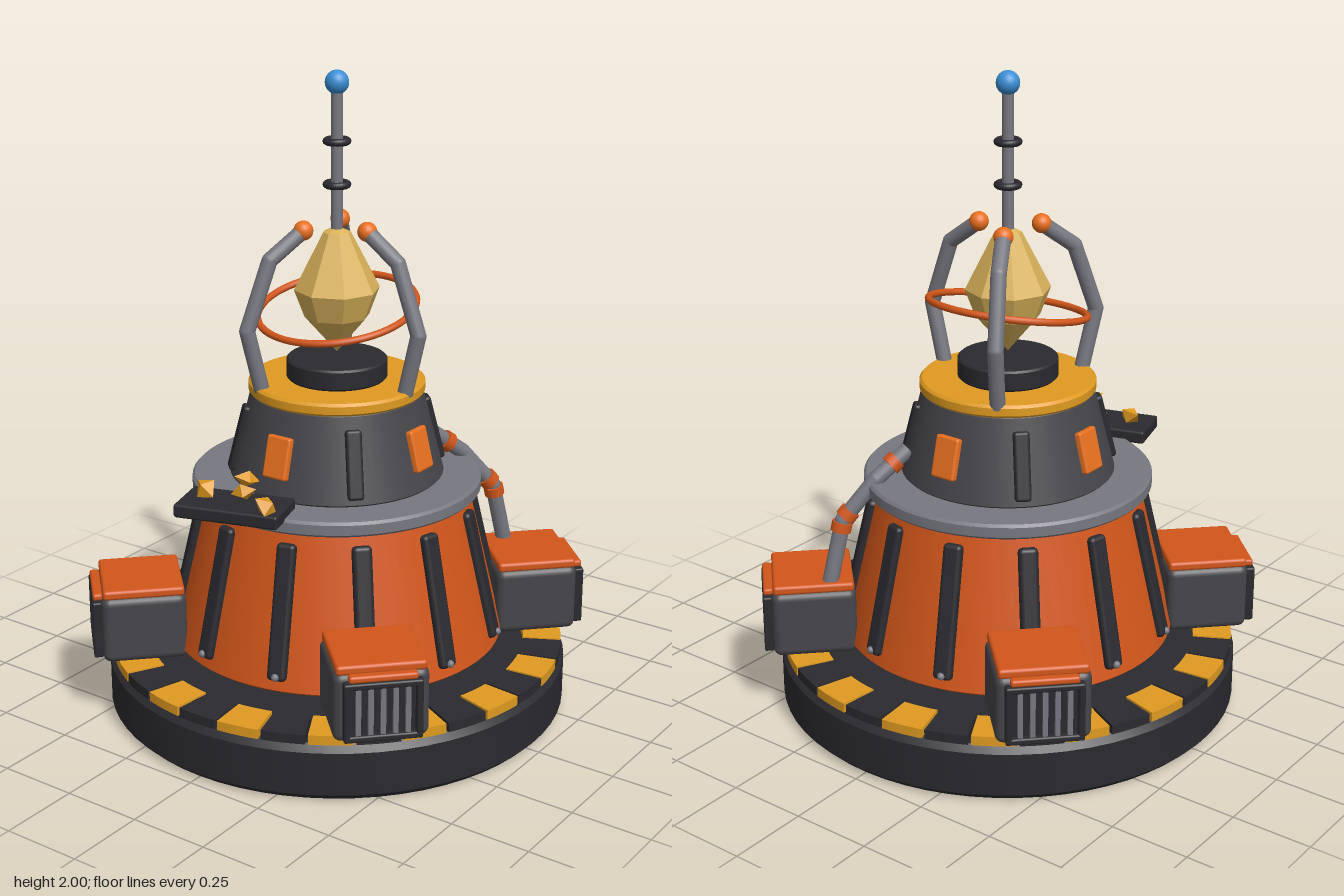
import * as THREE from 'three';
import { RoundedBoxGeometry } from 'three/addons/geometries/RoundedBoxGeometry.js';
import { toCreasedNormals } from 'three/addons/utils/BufferGeometryUtils.js';

const mat = (color, flatShading = false) => new THREE.MeshStandardMaterial({ color, flatShading });
const dark = mat(0x2a2a2f), slate = mat(0x46464b), steel = mat(0x777780);
const orange = mat(0xd2561a), bright = mat(0xe8701f), yellow = mat(0xdf9a20);
const crystalMat = mat(0xd9b25a, true), shardMat = mat(0xe09a20, true), blue = mat(0x3a8fd6);
const V = (x, y, z) => new THREE.Vector3(x, y, z);

function add(parent, name, geometry, material, x = 0, y = 0, z = 0) {
  const mesh = new THREE.Mesh(geometry, material);
  mesh.name = name;
  mesh.position.set(x, y, z);
  parent.add(mesh);
  return mesh;
}

function spoke(parent, name, angle) {
  const g = new THREE.Group();
  g.name = name;
  g.rotation.y = angle;
  parent.add(g);
  return g;
}

// Closed disc or cone with small bevels on both rims
function turned(rBottom, rTop, y0, y1, bevel = 0.01) {
  const pts = [[0, y0], [rBottom - bevel, y0], [rBottom, y0 + bevel],
    [rTop, y1 - bevel], [rTop - bevel, y1], [0, y1]];
  return toCreasedNormals(new THREE.LatheGeometry(pts.map(p => new THREE.Vector2(...p)), 64), 0.5);
}

// Cylinder between two points
function rod(parent, name, a, b, r, material) {
  const d = b.clone().sub(a);
  const m = add(parent, name, new THREE.CylinderGeometry(r, r, d.length(), 16), material);
  m.position.copy(a).add(b).multiplyScalar(0.5);
  m.quaternion.setFromUnitVectors(V(0, 1, 0), d.normalize());
  return m;
}

// Jointed pipe through a list of points
function pipe(parent, name, points, r, material) {
  points.slice(1).forEach((p, i) => rod(parent, name, points[i], p, r, material));
  points.slice(1, -1).forEach(p =>
    add(parent, name + 'Joint', new THREE.SphereGeometry(r, 16, 10), material, p.x, p.y, p.z));
}

function buildBase(root) {
  add(root, 'base', turned(0.725, 0.725, 0, 0.18, 0.022), dark);
  // Hazard ring of alternating blocks
  const step = Math.PI / 16, half = step / 2 - 0.006;
  const shape = new THREE.Shape();
  shape.absarc(0, 0, 0.715, -half, half, false);
  shape.absarc(0, 0, 0.595, half, -half, true);
  const block = new THREE.ExtrudeGeometry(shape, { depth: 0.03, bevelEnabled: false, curveSegments: 4 });
  block.rotateX(-Math.PI / 2);
  for (let i = 0; i < 32; i++) {
    add(root, 'hazardBlock', block, i % 2 ? yellow : dark, 0, 0.18, 0).rotation.y = i * step;
  }
}

function buildBody(root) {
  add(root, 'lowerBody', turned(0.522, 0.41, 0.232, 0.72, 0.006), orange);
  add(root, 'collar', turned(0.45, 0.45, 0.71, 0.757, 0.008), steel);
  add(root, 'upperBody', turned(0.332, 0.266, 0.757, 1.025, 0.006), slate);
  add(root, 'topPlate', turned(0.272, 0.272, 1.02, 1.06, 0.008), yellow);
  add(root, 'crystalSocket', turned(0.155, 0.155, 1.06, 1.125, 0.006), dark);

  // Ribs with a rivet at the foot
  const rib = new RoundedBoxGeometry(0.06, 0.415, 0.04, 2, 0.014);
  for (let i = 0; i < 12; i++) {
    const g = spoke(root, 'lowerRib', (i + 0.5) * Math.PI / 6);
    add(g, 'rib', rib, dark, 0, 0.47, 0.468).rotation.x = -0.23;
    add(g, 'rivet', new THREE.SphereGeometry(0.012, 10, 8), steel, 0, 0.285, 0.531);
  }
  for (let i = 0; i < 4; i++) {
    const p = spoke(root, 'accentPanel', i * Math.PI / 2);
    add(p, 'panel', new RoundedBoxGeometry(0.085, 0.13, 0.03, 2, 0.008), bright, 0, 0.885, 0.302).rotation.x = -0.25;
    const r = spoke(root, 'upperRib', (i + 0.5) * Math.PI / 2);
    add(r, 'rib', new RoundedBoxGeometry(0.05, 0.21, 0.03, 2, 0.01), dark, 0, 0.88, 0.302).rotation.x = -0.25;
  }
}

function buildPod(root, angle) {
  const g = spoke(root, 'pod', angle);
  add(g, 'podBody', new RoundedBoxGeometry(0.28, 0.215, 0.26, 3, 0.025), slate, 0, 0.318, 0.622);
  add(g, 'podLid', new RoundedBoxGeometry(0.265, 0.03, 0.25, 2, 0.01), orange, 0, 0.434, 0.622);
  add(g, 'lidLip', new RoundedBoxGeometry(0.2, 0.022, 0.03, 2, 0.008), orange, 0, 0.418, 0.762);
  // Vent with frame and slats
  add(g, 'ventBack', new THREE.BoxGeometry(0.2, 0.16, 0.012), dark, 0, 0.315, 0.755);
  for (const s of [-1, 1]) {
    add(g, 'ventFrameSide', new RoundedBoxGeometry(0.02, 0.18, 0.03, 2, 0.006), dark, s * 0.105, 0.315, 0.765);
    add(g, 'ventFrameRail', new RoundedBoxGeometry(0.23, 0.02, 0.03, 2, 0.006), dark, 0, 0.315 + s * 0.082, 0.765);
  }
  for (let i = -2; i <= 2; i++) {
    add(g, 'ventSlat', new THREE.BoxGeometry(0.015, 0.145, 0.016), steel, i * 0.036, 0.315, 0.766);
  }
}

function buildCrown(root) {
  // Faceted crystal
  const profile = [[0, 1.14], [0.1, 1.255], [0.132, 1.34], [0.042, 1.515], [0, 1.535]];
  add(root, 'crystal', new THREE.LatheGeometry(profile.map(p => new THREE.Vector2(...p)), 8), crystalMat);
  add(root, 'orbitRing', new THREE.TorusGeometry(0.243, 0.011, 10, 64), orange, 0, 1.28, 0)
    .rotation.x = Math.PI / 2 + 0.2;

  // Three bent claws with ball tips
  for (let i = 0; i < 3; i++) {
    const g = spoke(root, 'claw', i * Math.PI * 2 / 3);
    pipe(g, 'clawArm', [V(0.25, 1.05, 0), V(0.295, 1.24, 0), V(0.22, 1.45, 0), V(0.11, 1.53, 0)], 0.024, steel);
    add(g, 'clawTip', new THREE.SphereGeometry(0.03, 20, 14), bright, 0.11, 1.53, 0);
  }

  // Antenna
  rod(root, 'antennaMast', V(0, 1.5, 0), V(0, 1.95, 0), 0.018, steel);
  for (const y of [1.66, 1.79]) {
    add(root, 'antennaCollar', new THREE.TorusGeometry(0.032, 0.011, 10, 28), dark, 0, y, 0).rotation.x = Math.PI / 2;
  }
  add(root, 'beacon', new THREE.SphereGeometry(0.036, 24, 16), blue, 0, 1.964, 0);
}

function buildPipe(root) {
  const pts = [V(0.2, 0.845, -0.245), V(0.25, 0.765, -0.34), V(0.315, 0.64, -0.425), V(0.335, 0.44, -0.47)];
  pipe(root, 'feedPipe', pts, 0.025, steel);
  // Clamps along the pipe: segment and position on it
  for (const [i, t] of [[0, 0.45], [1, 0.85], [2, 0.1]]) {
    const c = pts[i].clone().lerp(pts[i + 1], t);
    const d = pts[i + 1].clone().sub(pts[i]).setLength(0.015);
    rod(root, 'pipeClamp', c.clone().sub(d), c.clone().add(d), 0.032, orange);
  }
}

function buildTray(root) {
  const g = spoke(root, 'sampleTray', 0.29);
  g.position.set(-0.045, 0.766, 0.46);
  add(g, 'tray', new RoundedBoxGeometry(0.325, 0.042, 0.165, 2, 0.008), dark);
  // Crystal shards: position, size, lean
  for (const [x, y, z, s, a] of [[-0.095, 0.045, -0.01, 0.036, 0.5], [0.025, 0.05, -0.01, 0.032, 1.1],
    [0.035, 0.09, -0.015, 0.033, -0.5], [0.12, 0.04, 0.055, 0.036, 2.2]]) {
    const m = add(g, 'shard', new THREE.OctahedronGeometry(s), shardMat, x, y, z);
    m.scale.set(1, 0.8, 1.25);
    m.rotation.set(a, a * 1.7, a * 0.8);
  }
}

export function createModel() {
  const root = new THREE.Group();
  root.name = 'beaconTower';
  buildBase(root);
  buildBody(root);
  for (let i = 0; i < 4; i++) buildPod(root, (i + 0.5) * Math.PI / 2);
  buildCrown(root);
  buildPipe(root);
  buildTray(root);
  return root;
}
